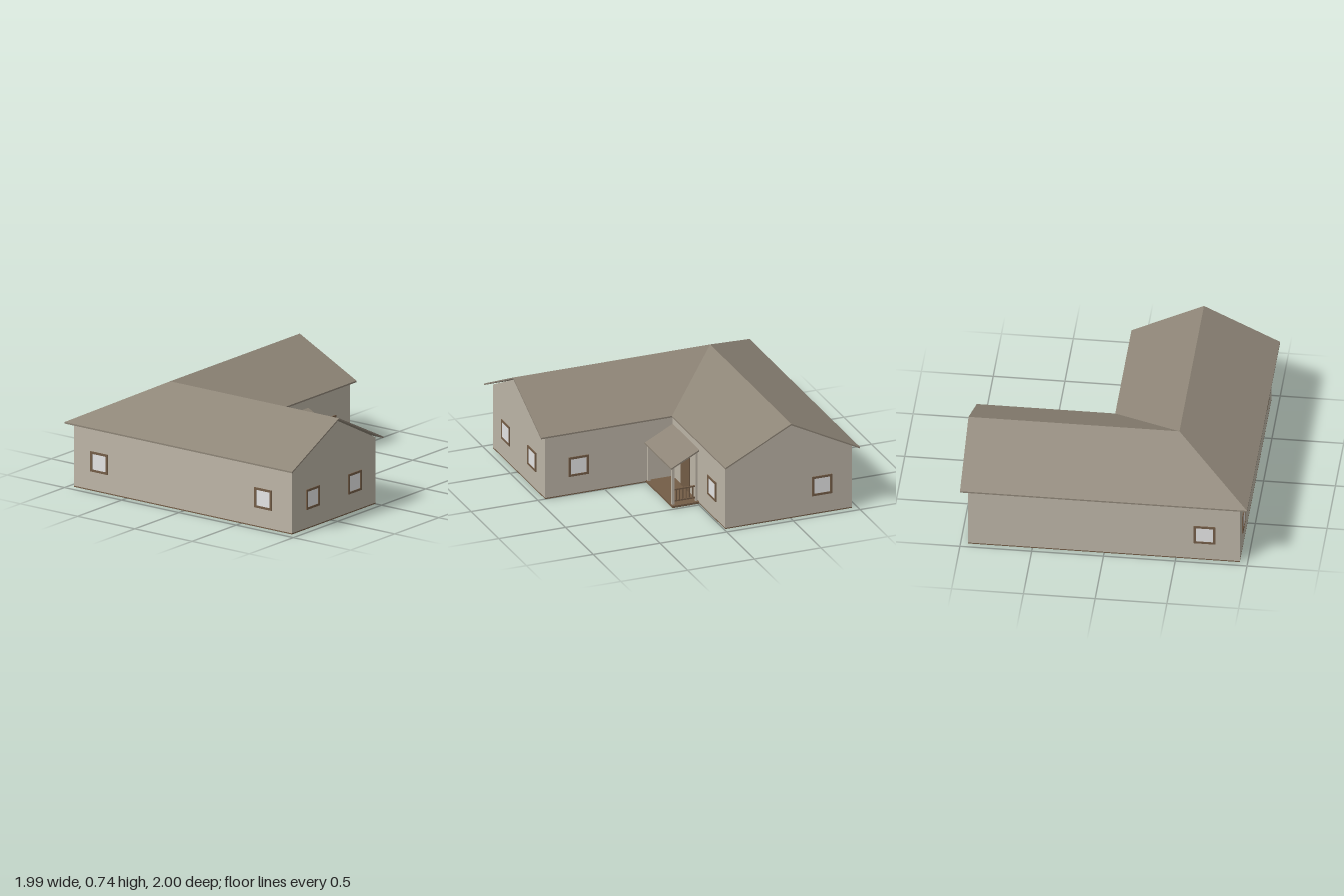
import * as THREE from 'three';

const material = (name, color) => {
  const m = new THREE.MeshStandardMaterial({ color });
  m.name = name;
  return m;
};

export function createModel() {
  const house = new THREE.Group();
  house.name = 'house';
  const wall = material('wall plaster', 0xbdb5a7);
  const roofing = material('roof shingle', 0x8e8577);
  const wood = material('brown wood', 0x745d47);
  const glass = material('window glass', 0xe4e4e4);

  const add = (name, geometry, mat, parent = house) => {
    const mesh = new THREE.Mesh(geometry, mat);
    mesh.name = name;
    parent.add(mesh);
    return mesh;
  };
  const box = (name, mat, size, pos, parent) => {
    const mesh = add(name, new THREE.BoxGeometry(...size), mat, parent);
    mesh.position.set(...pos);
    return mesh;
  };
  const extrude = (points, depth) => new THREE.ExtrudeGeometry(
    new THREE.Shape(points.map(p => new THREE.Vector2(...p))), { depth, bevelEnabled: false });

  // L-shaped floor slab and walls, footprint in x and -z
  const footprint = [[-0.96, -0.945], [0.945, -0.945], [0.945, 0], [-0.01, 0], [-0.01, 0.95], [-0.96, 0.95]];
  const storey = (name, mat, y0, y1) => {
    const mesh = add(name, extrude(footprint, y1 - y0).rotateX(-Math.PI / 2), mat);
    mesh.position.y = y0;
  };
  storey('floorSlab', wood, 0, 0.008);
  storey('walls', wall, 0.008, 0.48);

  // Gable ends, as triangular prisms running back to the ridge corner
  const gable = [[-0.473, 0.48], [0.473, 0.48], [0, 0.722]];
  add('backGable', extrude(gable, 1.42), wall).position.set(-0.485, 0, -0.95);
  const sideGable = add('sideGable', extrude(gable, 1.43), wall);
  sideGable.rotation.y = Math.PI / 2;
  sideGable.position.set(-0.485, 0, 0.4725);

  // Main roof: four slopes meeting at one hip and one valley
  const low = 0.473, inner = 0.485, top = 0.736, t = 0.011;
  const rim = [
    [-1, low, 1], [0.99, low, 1], [0.99, top, 0.47], [0.99, inner, -0.035],
    [0.01, inner, -0.035], [0.01, inner, -1], [-0.485, top, -1], [-1, low, -1],
  ];
  const peak = [-0.485, top, 0.47];
  const drop = p => [p[0], p[1] - t, p[2]];
  const verts = [];
  const quad = (a, b, c, d) => verts.push(...a, ...b, ...c, ...a, ...c, ...d);
  for (let i = 0; i < 8; i += 2) {
    const [a, b, c] = [rim[i], rim[i + 1], rim[(i + 2) % 8]];
    if (i === 0 || i === 4) quad(a, b, c, peak);
    else quad(peak, a, b, c);
    quad(drop(peak), drop(c), drop(b), drop(a));
  }
  rim.forEach((p, i) => {
    const q = rim[(i + 1) % 8];
    quad(drop(p), drop(q), q, p);
  });
  const roof = new THREE.BufferGeometry();
  roof.setAttribute('position', new THREE.Float32BufferAttribute(verts, 3));
  roof.computeVertexNormals();
  add('mainRoof', roof, roofing);

  // Windows: four frame bars around a thin pane, facing local +z
  const windowAt = (x, z, turn) => {
    const g = new THREE.Group();
    g.name = 'window';
    box('pane', glass, [0.13, 0.125, 0.004], [0, 0, 0.001], g);
    for (const s of [-1, 1]) {
      box('frameSide', wood, [0.016, 0.145, 0.009], [s * 0.067, 0, 0.002], g);
      box('frameRail', wood, [0.15, 0.016, 0.009], [0, s * 0.0645, 0.002], g);
    }
    g.position.set(x, 0.212, z);
    g.rotation.y = turn * Math.PI / 2;
    house.add(g);
  };
  windowAt(-0.738, 0.945, 0);
  windowAt(0.695, 0.945, 0);
  windowAt(0.945, 0.71, 1);
  windowAt(0.945, 0.235, 1);
  windowAt(-0.01, -0.713, 1);
  windowAt(0.695, 0, 2);
  windowAt(-0.735, -0.95, 2);
  windowAt(-0.96, 0.7, 3);

  // Porch in the inner corner
  box('door', wood, [0.009, 0.27, 0.16], [-0.007, 0.15, -0.237]);
  box('porchFloor', wood, [0.2, 0.015, 0.48], [0.09, 0.0075, -0.24]);
  const slab = [[-0.01, 0.395], [0.2, 0.29], [0.2, 0.302], [-0.01, 0.408]];
  add('porchRoof', extrude(slab, 0.48), roofing).position.z = -0.48;
  for (const z of [-0.012, -0.45]) {
    box('porchPost', wall, [0.018, 0.283, 0.018], [0.175, 0.156, z]);
  }
  box('wallPost', wall, [0.018, 0.36, 0.018], [0.002, 0.195, -0.45]);
  // Railing across the open end
  for (const y of [0.04, 0.125]) box('handrail', wood, [0.17, 0.01, 0.012], [0.088, y, -0.45]);
  for (let i = 1; i < 7; i++) {
    box('baluster', wood, [0.007, 0.085, 0.007], [0.002 + i * 0.0247, 0.0825, -0.45]);
  }
  return house;
}
